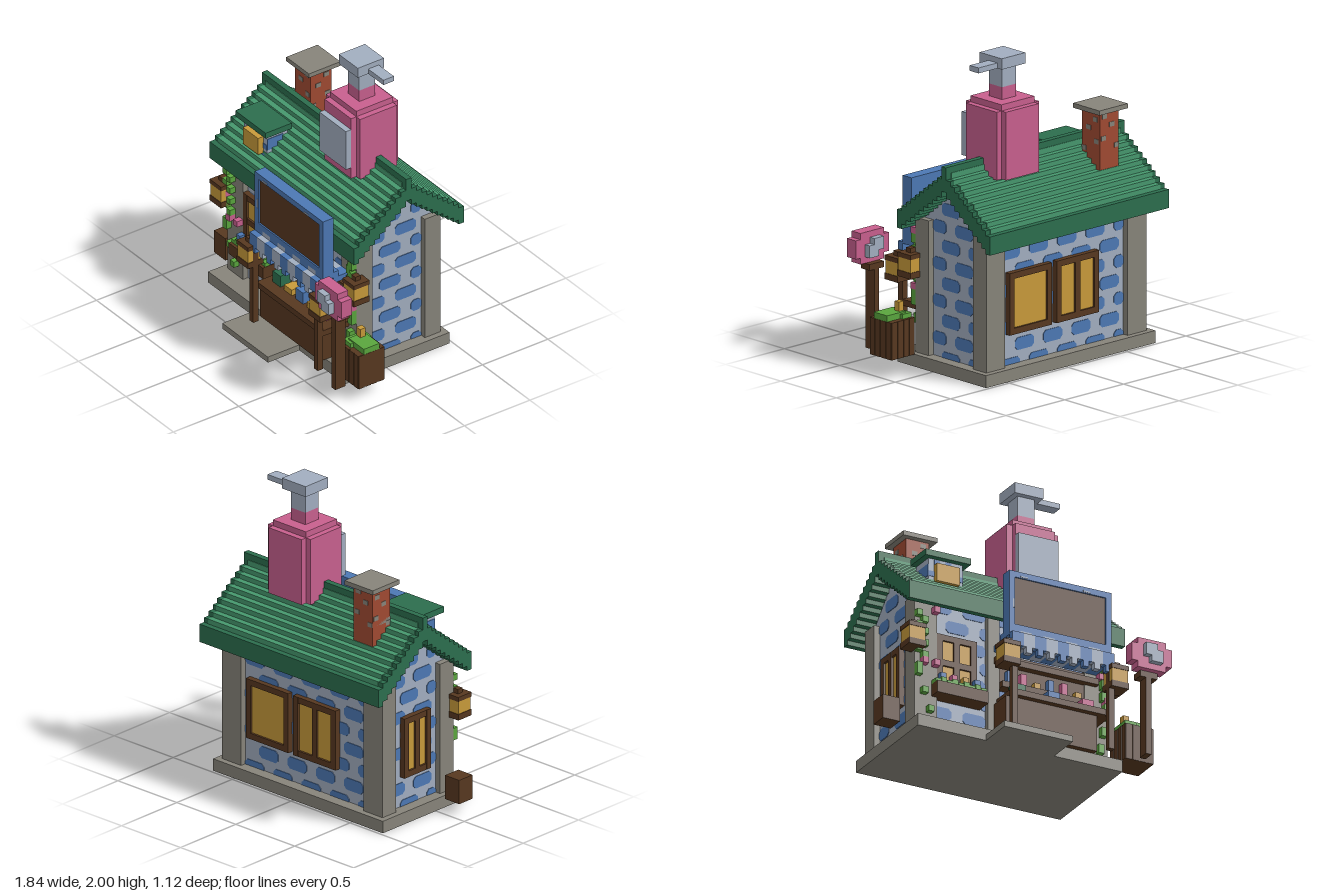
import * as THREE from 'three';
import { mergeGeometries } from 'three/addons/utils/BufferGeometryUtils.js';

const mat = (name, color) => Object.assign(new THREE.MeshStandardMaterial({ color }), { name });
const M = {
  stone: mat('stone', 0x87847a), wood: mat('dark wood', 0x573820), wall: mat('pale wall', 0xa2aec0),
  blue: mat('blue', 0x4c78b4), roof: mat('roof green', 0x46986e), trim: mat('dark green', 0x2c6e4e),
  pink: mat('pink', 0xc8608e), gold: mat('gold', 0xc89a3a), leaf: mat('leaf green', 0x5aa63e),
  brick: mat('red brick', 0xa04a32),
};

// Box given by its limits on each axis
function box(parent, name, m, x0, x1, y0, y1, z0, z1) {
  const mesh = new THREE.Mesh(new THREE.BoxGeometry(x1 - x0, y1 - y0, z1 - z0), m);
  mesh.position.set((x0 + x1) / 2, (y0 + y1) / 2, (z0 + z1) / 2);
  mesh.name = name;
  parent.add(mesh);
  return mesh;
}

function part(parent, name) {
  const g = new THREE.Group();
  g.name = name;
  parent.add(g);
  return g;
}

// Rows of chamfered bricks on one wall; u runs along the wall
function wallBricks(parent, rot, dist, u0, u1, gable) {
  const geos = [], mid = (u0 + u1) / 2, c = 0.02;
  for (let k = 0; k < (gable ? 10 : 8); k++) {
    const y0 = 0.04 + 0.12 * k, y1 = y0 + 0.08;
    const half = gable ? Math.min((u1 - u0) / 2, (1.28 - y1) * 1.2) : (u1 - u0) / 2;
    for (let s = -0.96 + (k % 2) * 0.12; s < 1; s += 0.24) {
      const a = Math.max(s, mid - half), b = Math.min(s + 0.16, mid + half);
      if (b - a < 0.045) continue;
      const shape = new THREE.Shape([[a + c, y0], [b - c, y0], [b, y0 + c], [b, y1 - c], [b - c, y1],
        [a + c, y1], [a, y1 - c], [a, y0 + c]].map(p => new THREE.Vector2(...p)));
      geos.push(new THREE.ExtrudeGeometry(shape, { depth: 0.004, bevelEnabled: false }));
    }
  }
  const mesh = new THREE.Mesh(mergeGeometries(geos).translate(0, 0, dist).rotateY(rot), M.blue);
  mesh.name = 'wallBricks';
  parent.add(mesh);
}

// Framed window with a grid of panes, built facing +z and then turned
function windowUnit(parent, rot, dist, u0, u1, y0, y1, cols, rows) {
  const g = part(parent, 'window'), t = 0.04, d = dist + 0.04;
  const pw = (u1 - u0 - t * (cols + 1)) / cols, ph = (y1 - y0 - t * (rows + 1)) / rows;
  box(g, 'windowGlass', M.gold, u0 + 0.01, u1 - 0.01, y0 + 0.01, y1 - 0.01, dist, d - 0.015);
  for (let i = 0; i <= cols; i++) box(g, 'windowUpright', M.wood, u0 + i * (pw + t), u0 + i * (pw + t) + t, y0, y1, dist, d);
  for (let j = 0; j <= rows; j++) box(g, 'windowRail', M.wood, u0, u1, y0 + j * (ph + t), y0 + j * (ph + t) + t, dist, d - 0.001);
  g.rotation.y = rot;
}

function lantern(parent, x, y, z) {
  const g = part(parent, 'lantern');
  box(g, 'lanternBase', M.wood, x - 0.06, x + 0.06, y, y + 0.04, z - 0.06, z + 0.06);
  box(g, 'lanternGlass', M.gold, x - 0.056, x + 0.056, y + 0.04, y + 0.125, z - 0.056, z + 0.056);
  box(g, 'lanternCap', M.wood, x - 0.06, x + 0.06, y + 0.125, y + 0.155, z - 0.06, z + 0.06);
  box(g, 'lanternKnob', M.wood, x - 0.02, x + 0.02, y + 0.155, y + 0.185, z - 0.02, z + 0.02);
}

export function createModel() {
  const model = new THREE.Group();
  model.name = 'soapShop';

  // Foundation, step and corner pillars
  box(model, 'foundation', M.stone, -0.76, 0.68, 0, 0.08, -0.48, 0.32);
  box(model, 'frontStep', M.stone, -0.28, 0.2, 0, 0.04, 0.32, 0.56);
  for (const x of [-0.72, 0.48]) for (const z of [-0.44, 0.08])
    box(model, 'cornerPillar', M.stone, x, x + 0.16, 0.08, 0.95, z, z + 0.12);
  box(model, 'middlePillar', M.stone, -0.2, -0.12, 0.08, 0.92, 0.1, 0.2);

  // Walls with gable ends
  const profile = new THREE.Shape([[0.16, 0.08], [0.16, 0.95], [-0.12, 1.19], [-0.16, 1.19], [-0.4, 0.95], [-0.4, 0.08]]
    .map(p => new THREE.Vector2(...p)));
  const walls = new THREE.Mesh(new THREE.ExtrudeGeometry(profile, { depth: 1.28, bevelEnabled: false })
    .rotateY(-Math.PI / 2).translate(0.6, 0, 0), M.wall);
  walls.name = 'walls';
  model.add(walls);
  wallBricks(model, 0, 0.16, -0.56, 0.48, false);
  wallBricks(model, Math.PI, 0.4, -0.48, 0.56, false);
  wallBricks(model, Math.PI / 2, 0.6, -0.08, 0.32, true);
  wallBricks(model, -Math.PI / 2, 0.68, -0.32, 0.08, true);

  // Stepped roof, dark edges and light shingles
  const roof = part(model, 'roof');
  for (let i = 0; i < 10; i++) {
    const top = 1.0 + 0.0311 * i, jag = (i % 3) * 0.008;
    for (const side of [1, -1]) {
      const za = -0.14 + side * (0.42 - 0.04 * i), zb = za - side * 0.04;
      box(roof, 'roofStep', M.trim, -0.8, 0.72, top - 0.12, top, Math.min(za, zb), Math.max(za, zb));
      if (i === 0) continue;
      const zc = za + side * 0.004;
      box(roof, 'shingleRow', M.roof, -0.77 + jag, 0.69 - jag, top - 0.03, top + 0.003, Math.min(zc, zb), Math.max(zc, zb));
    }
  }
  box(roof, 'ridge', M.trim, -0.8, 0.72, 1.2, 1.36, -0.16, -0.12);
  for (const z of [-0.117, -0.167])
    box(roof, 'ridgeShingle', M.roof, -0.76, 0.68, 1.25, 1.32, z, z + 0.004);

  // Chimney
  const chimney = part(model, 'chimney');
  box(chimney, 'chimneyStack', M.brick, -0.56, -0.4, 1.1, 1.53, -0.36, -0.2);
  box(chimney, 'chimneyCap', M.stone, -0.6, -0.36, 1.53, 1.56, -0.4, -0.16);
  for (const [u, y] of [[-0.02, 1.44], [0.05, 1.36], [-0.06, 1.3], [0.04, 1.5]]) {
    box(chimney, 'wornPatchFrontBack', M.stone, -0.5 + u, -0.46 + u, y - 0.015, y + 0.015, -0.363, -0.197);
    box(chimney, 'wornPatchSides', M.stone, -0.563, -0.397, y - 0.035, y - 0.005, -0.3 - u, -0.26 - u);
  }

  // Giant pump bottle on the roof
  const bottle = part(model, 'pumpBottle');
  box(bottle, 'bottleBodyWide', M.pink, 0.04, 0.4, 1.24, 1.68, -0.28, 0);
  box(bottle, 'bottleBodyDeep', M.pink, 0.08, 0.36, 1.24, 1.68, -0.32, 0.04);
  box(bottle, 'bottleShoulder', M.pink, 0.08, 0.36, 1.68, 1.72, -0.28, 0);
  box(bottle, 'bottleNeck', M.pink, 0.16, 0.28, 1.72, 1.8, -0.2, -0.08);
  box(bottle, 'bottleLabel', M.wall, 0.08, 0.36, 1.32, 1.6, 0.04, 0.08);
  box(bottle, 'pumpStem', M.wall, 0.16, 0.28, 1.8, 1.93, -0.2, -0.08);
  box(bottle, 'pumpHead', M.wall, 0.12, 0.32, 1.93, 2, -0.24, -0.04);
  box(bottle, 'pumpSpout', M.wall, 0.32, 0.48, 1.93, 1.965, -0.2, -0.12);

  // Dormer
  const dormer = part(model, 'dormer');
  box(dormer, 'dormerWall', M.wall, -0.6, -0.36, 1.04, 1.24, 0, 0.16);
  box(dormer, 'dormerWindow', M.gold, -0.56, -0.4, 1.08, 1.2, 0.16, 0.2);
  box(dormer, 'dormerRoof', M.trim, -0.64, -0.32, 1.24, 1.28, 0, 0.2);
  for (const [x, y] of [[-0.6, 1.12], [-0.4, 1.12], [-0.56, 1.2], [-0.48, 1.2], [-0.52, 1.045], [-0.42, 1.045]])
    box(dormer, 'dormerBrick', M.blue, x, x + 0.04, y, y + 0.035, 0.16, 0.164);
  for (const x of [-0.604, -0.36]) box(dormer, 'dormerSideBrick', M.blue, x, x + 0.004, 1.12, 1.2, 0.04, 0.16);

  // Windows and flower box
  windowUnit(model, 0, 0.16, -0.56, -0.28, 0.34, 0.72, 2, 2);
  windowUnit(model, Math.PI, 0.4, -0.44, -0.08, 0.28, 0.68, 1, 1);
  windowUnit(model, Math.PI, 0.4, -0.04, 0.32, 0.28, 0.68, 2, 1);
  windowUnit(model, -Math.PI / 2, 0.68, -0.24, 0, 0.28, 0.68, 2, 1);
  const planter = part(model, 'flowerBox');
  box(planter, 'planterTrough', M.wood, -0.6, -0.24, 0.28, 0.36, 0.16, 0.28);
  for (let i = 0; i < 9; i++) {
    const x = -0.6 + i * 0.04;
    box(planter, 'planterLeaf', M.leaf, x, x + 0.038, 0.36, 0.385 + (i % 2) * 0.015, 0.2, 0.26);
    if (i % 2) box(planter, 'planterFlower', [M.pink, M.blue, M.gold][i % 3], x, x + 0.038, 0.4, 0.435, 0.21, 0.25);
  }

  // Shop counter, shelves and goods
  const stall = part(model, 'shopCounter');
  box(stall, 'shelfBack', M.wood, -0.12, 0.48, 0.46, 0.68, 0.16, 0.19);
  box(stall, 'shelf', M.wood, -0.12, 0.52, 0.44, 0.48, 0.16, 0.24);
  box(stall, 'lintel', M.wood, -0.16, 0.56, 0.6, 0.64, 0.18, 0.24);
  box(stall, 'counterFront', M.wood, -0.16, 0.48, 0.08, 0.32, 0.2, 0.36);
  box(stall, 'counterTop', M.wood, -0.14, 0.56, 0.32, 0.36, 0.16, 0.4);
  for (const x of [-0.16, 0.52]) box(stall, 'stallPost', M.wood, x, x + 0.04, 0.08, 0.64, 0.4, 0.44);
  [M.trim, M.gold, M.blue, M.gold, M.pink].forEach((m, i) => {
    const x = -0.08 + 0.12 * i;
    box(stall, 'counterGoods', m, x, x + 0.08, 0.36, i % 2 ? 0.4 : 0.44, 0.24, 0.32);
  });
  [M.blue, M.pink, M.gold, M.blue, M.pink, M.gold].forEach((m, i) => {
    const x = -0.08 + 0.096 * i;
    box(stall, 'shelfGoods', m, x, x + 0.04, 0.48, i % 3 === 2 ? 0.52 : 0.56, 0.19, 0.23);
  });

  // Striped awning with a toothed edge
  const awning = part(model, 'awning');
  for (let i = 0; i < 9; i++) {
    const x = -0.16 + i * 0.08, m = i % 2 ? M.wall : M.blue;
    box(awning, 'awningTop', m, x, x + 0.08, 0.72, 0.76, 0.28, 0.4);
    box(awning, 'awningDrop', m, x, x + 0.08, 0.64, 0.73, 0.4, 0.44);
    box(awning, 'awningBack', m, x, x + 0.08, 0.68, 0.72, 0.2, 0.32);
    box(awning, 'awningTooth', m, x + 0.02, x + 0.06, 0.6, 0.64, 0.4, 0.44);
  }

  // Sign board
  const sign = part(model, 'signBoard');
  box(sign, 'signPanel', M.wood, -0.12, 0.52, 0.8, 1.12, 0.325, 0.39);
  for (const y of [0.76, 1.12]) box(sign, 'signRail', M.blue, -0.16, 0.56, y, y + 0.04, 0.32, 0.4);
  for (const x of [-0.16, 0.52]) box(sign, 'signSide', M.blue, x, x + 0.04, 0.8, 1.12, 0.32, 0.4);
  box(sign, 'signBack', M.blue, -0.12, 0.52, 0.8, 1.12, 0.32, 0.325);
  for (const x of [-0.08, 0.36]) box(sign, 'signGlint', M.wall, x, x + 0.05, 1.125, 1.135, 0.4, 0.403);
  box(sign, 'signGlint', M.wall, -0.135, -0.125, 0.91, 0.97, 0.4, 0.403);

  // Lanterns
  for (const x of [-0.74, 0.66]) lantern(model, x, 0.57, 0.22);
  for (const x of [-0.18, 0.58]) lantern(model, x, 0.49, 0.42);

  // Round sign on a post
  const post = part(model, 'postSign');
  box(post, 'post', M.wood, 0.76, 0.8, 0.08, 0.64, 0.4, 0.48);
  box(post, 'postCrossbar', M.wood, 0.72, 0.84, 0.6, 0.64, 0.4, 0.48);
  box(post, 'signDiscWide', M.pink, 0.64, 0.92, 0.68, 0.8, 0.44, 0.52);
  box(post, 'signDiscTall', M.pink, 0.68, 0.88, 0.64, 0.84, 0.44, 0.52);
  box(post, 'signEmblemTop', M.wall, 0.72, 0.8, 0.72, 0.8, 0.4, 0.56);
  box(post, 'signEmblemBottom', M.wall, 0.76, 0.84, 0.68, 0.76, 0.4, 0.56);

  // Planted barrel and crate
  const barrel = part(model, 'barrelPlanter');
  box(barrel, 'barrelCore', M.wood, 0.69, 0.87, 0.08, 0.32, 0.17, 0.35);
  for (let i = 0; i < 4; i++) {
    const o = 0.05 * i + 0.004;
    box(barrel, 'barrelStave', M.wood, 0.68 + o, 0.722 + o, 0.08, 0.32, 0.16, 0.36);
    box(barrel, 'barrelSideStave', M.wood, 0.68, 0.88, 0.08, 0.319, 0.16 + o, 0.202 + o);
  }
  box(barrel, 'barrelLeavesLow', M.leaf, 0.72, 0.88, 0.32, 0.36, 0.2, 0.32);
  box(barrel, 'barrelLeavesHigh', M.leaf, 0.69, 0.77, 0.32, 0.35, 0.18, 0.34);
  box(barrel, 'barrelFlower', M.gold, 0.72, 0.76, 0.35, 0.42, 0.22, 0.26);
  box(model, 'crate', M.wood, -0.92, -0.8, 0.08, 0.24, 0.04, 0.16);

  // Climbing vines and blossoms on the front pillars
  const vines = part(model, 'vines');
  const sprigs = [[0, 0.8], [0.04, 0.76], [0, 0.72], [0.04, 0.68], [0.04, 0.6], [0, 0.56], [0.04, 0.52], [0, 0.44], [0, 0.4],
    [0.04, 0.28], [0.08, 0.16]];
  for (const [o, y] of sprigs) {
    box(vines, 'vineLeaf', M.leaf, -0.72 + o, -0.68 + o, y, y + 0.04, 0.2, 0.24);
    box(vines, 'vineLeaf', M.leaf, 0.6 - o / 2, 0.64 - o / 2, y - 0.02, y + 0.04, 0.2, 0.24);
  }
  for (const [x, y] of [[-0.6, 0.84], [-0.72, 0.64], [-0.68, 0.48], [-0.6, 0.48], [0.6, 0.84], [0.56, 0.64], [0.6, 0.48]])
    box(vines, 'vineBlossom', M.pink, x, x + 0.04, y, y + 0.04, 0.2, 0.245);

  return model;
}
